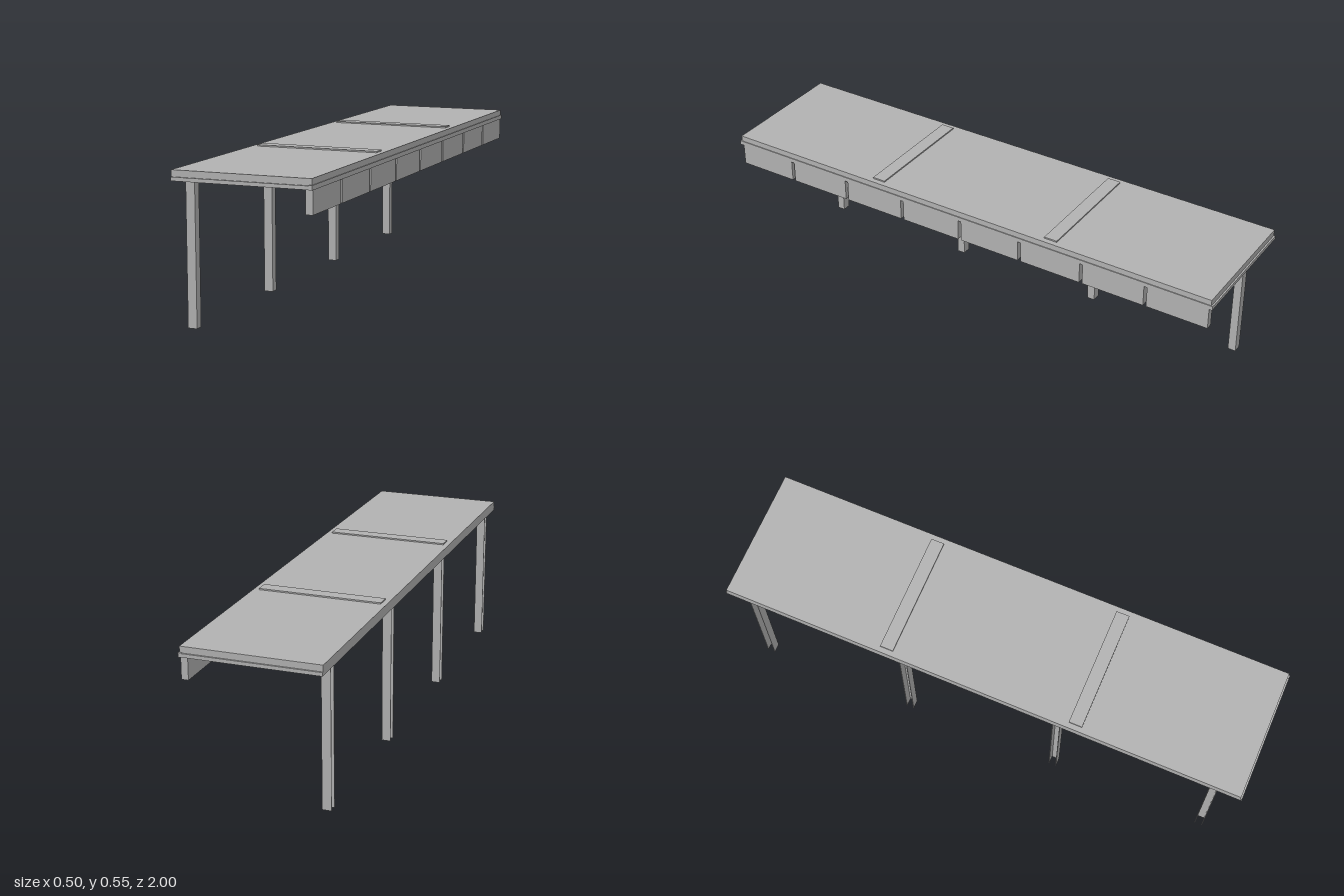
import * as THREE from 'three';

export function createModel() {
  const model = new THREE.Group();
  model.name = 'canopy';
  const grey = new THREE.MeshStandardMaterial({ color: 0xb2b2b2 });
  grey.name = 'plain grey';

  // Box given by its lower and upper bounds on each axis
  function box(name, [x0, x1], [y0, y1], [z0, z1], parent = model) {
    const mesh = new THREE.Mesh(new THREE.BoxGeometry(x1 - x0, y1 - y0, z1 - z0), grey);
    mesh.position.set((x0 + x1) / 2, (y0 + y1) / 2, (z0 + z1) / 2);
    mesh.name = name;
    parent.add(mesh);
    return mesh;
  }

  // Roof slab and the shallow ceiling panel under it
  box('roofSlab', [-0.25, 0.245], [0.509, 0.545], [-0.994, 0.994]);
  box('ceilingPanel', [-0.22, 0.218], [0.505, 0.51], [-0.95, 0.95]);

  // Projecting trim along the two ends and the panelled side
  box('sideTrim', [0.236, 0.248], [0.508, 0.524], [-1, 1]);
  for (const s of [-1, 1]) {
    box('endTrim', [-0.25, 0.237], [0.509, 0.522], s > 0 ? [0.985, 1] : [-1, -0.985]);
    // Raised strip across the roof
    box('roofStrip', [-0.23, 0.225], [0.544, 0.55], [s * 0.365 - 0.025, s * 0.365 + 0.025]);
  }

  // Row of hanging side panels with narrow gaps
  for (let i = 0; i < 8; i++) {
    const z = -1 + i * 0.25;
    box('sidePanel', [0.22, 0.245], [0.427, 0.512],
      [z + (i === 0 ? 0.013 : 0.006), z + (i === 7 ? 0.237 : 0.244)]);
  }

  // Channel cross-section of the posts, open towards the outer side
  const channel = new THREE.Shape([
    [-0.243, -0.015], [-0.21, -0.015], [-0.21, 0.015], [-0.243, 0.015],
    [-0.243, 0.0125], [-0.213, 0.0125], [-0.213, -0.0125], [-0.243, -0.0125],
  ].map(([x, y]) => new THREE.Vector2(x, y)));
  const postGeometry = new THREE.ExtrudeGeometry(channel, { depth: 0.51, bevelEnabled: false });
  postGeometry.rotateX(-Math.PI / 2);

  // Each bay line has a post, a cross beam and a ceiling light
  for (const z of [-0.895, -0.298, 0.298, 0.895]) {
    const frame = new THREE.Group();
    frame.name = 'supportFrame';
    frame.position.z = z;
    const post = new THREE.Mesh(postGeometry, grey);
    post.name = 'post';
    frame.add(post);
    box('crossBeam', [-0.212, 0.221], [0.497, 0.51], [-0.008, 0.008], frame);
    box('ceilingLight', [0.058, 0.116], [0.5, 0.508], [-0.03, 0.03], frame);
    model.add(frame);
  }
  return model;
}
